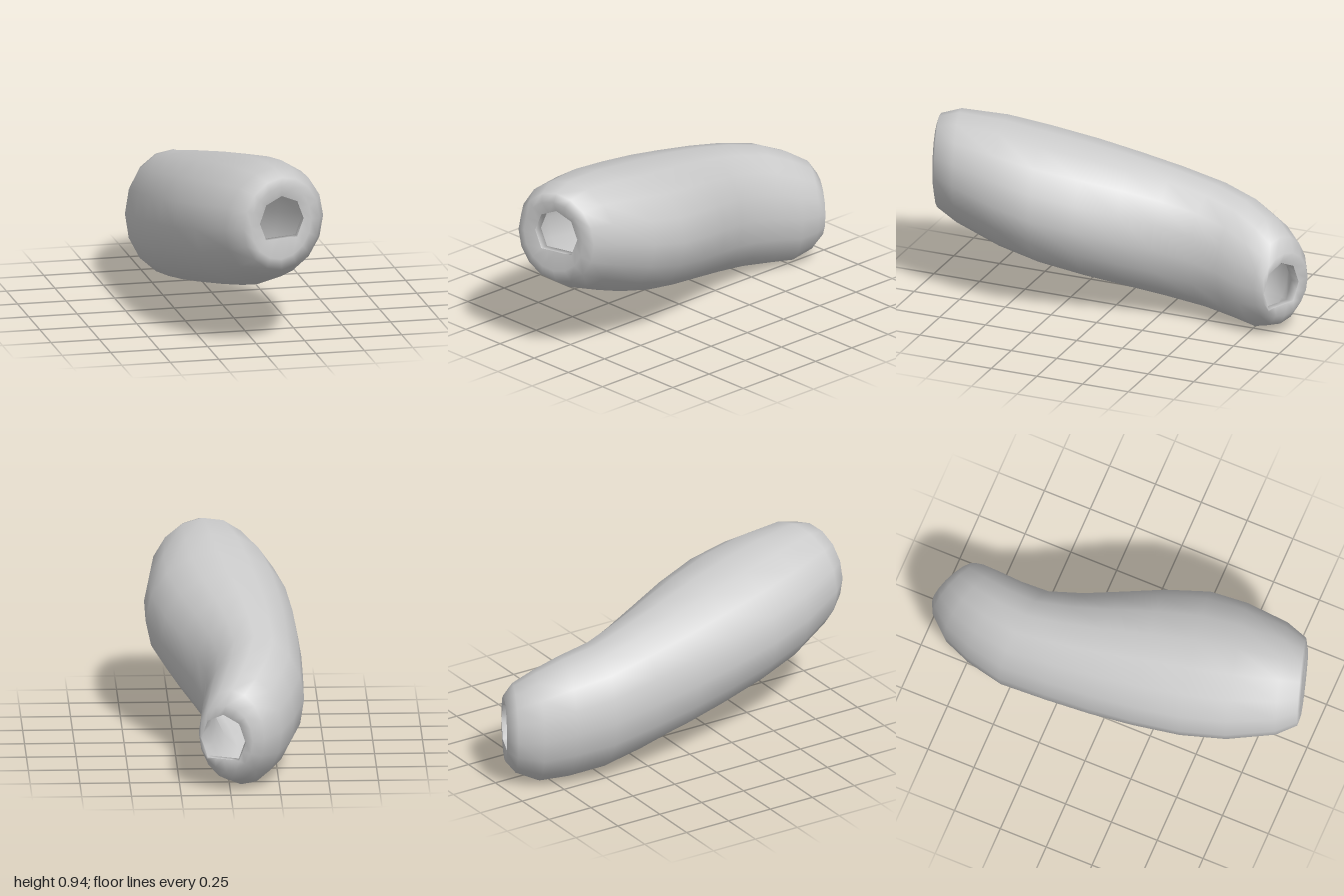
import * as THREE from 'three';

const SIDES = 16;

// Cross-sections from front to back: [xLeft, zLeft, xRight, zRight, yTop, yBottom]
const frontHole = [-0.03, 0.965, 0.21, 0.9, 0.815, 0.555];
const backHole = [-0.075, -0.965, 0.145, -0.87, 0.4, 0.13];
const body = [
  [-0.08, 0.995, 0.25, 0.9, 0.865, 0.49],
  [-0.12, 0.995, 0.3, 0.87, 0.91, 0.43],
  [-0.2, 0.91, 0.345, 0.75, 0.94, 0.365],
  [-0.3, 0.68, 0.38, 0.52, 0.925, 0.27],
  [-0.355, 0.45, 0.38, 0.32, 0.89, 0.21],
  [-0.38, 0.2, 0.315, 0.1, 0.845, 0.155],
  [-0.39, -0.03, 0.235, -0.1, 0.795, 0.11],
  [-0.39, -0.27, 0.165, -0.28, 0.745, 0.07],
  [-0.385, -0.52, 0.12, -0.45, 0.69, 0.035],
  [-0.33, -0.72, 0.125, -0.6, 0.645, 0.013],
  [-0.26, -0.87, 0.145, -0.72, 0.585, 0.003],
  [-0.17, -0.97, 0.155, -0.82, 0.52, 0.05],
  [-0.11, -1.0, 0.155, -0.865, 0.45, 0.11],
];

// One oval ring; 'inset' shrinks it, 'hole' makes it an octagon cut flat at the bottom
function ring([xl, zl, xr, zr, top, bottom], { inset = 0, hole = false, dz = 0 } = {}) {
  const hw = (xr - xl) / 2, hh = (top - bottom) / 2;
  const unit = (j) => {
    const a = (j / SIDES) * Math.PI * 2;
    return new THREE.Vector2(Math.cos(a), hole ? Math.max(Math.sin(a), -Math.SQRT1_2) : Math.sin(a));
  };
  return Array.from({ length: SIDES }, (_, j) => {
    const p = hole && j % 2 ? unit(j - 1).lerp(unit(j + 1), 0.5) : unit(j);
    const u = p.x * (1 - inset / hw);
    return new THREE.Vector3(
      (xl + xr) / 2 + u * hw,
      (top + bottom) / 2 + p.y * (hh - inset),
      (zl + zr) / 2 + (u * (zr - zl)) / 2 + dz
    );
  });
}

// Skin joining consecutive rings
function loft(rings, name, material) {
  const index = [];
  for (let i = 0; i < rings.length - 1; i++) {
    for (let j = 0; j < SIDES; j++) {
      const k = (j + 1) % SIDES;
      const a = i * SIDES + j, b = i * SIDES + k, c = a + SIDES, d = b + SIDES;
      index.push(a, c, b, b, c, d);
    }
  }
  const geometry = new THREE.BufferGeometry().setFromPoints(rings.flat());
  geometry.setIndex(index);
  geometry.computeVertexNormals();
  const mesh = new THREE.Mesh(geometry, material);
  mesh.name = name;
  return mesh;
}

export function createModel() {
  const group = new THREE.Group();
  group.name = 'bentHollowPod';
  const material = new THREE.MeshStandardMaterial({ color: 0xcccccc });
  const front = ring(frontHole, { hole: true });
  const back = ring(backHole, { hole: true });

  // Outer skin, curling in to the opening at each end
  group.add(loft([front, ...body.map((s) => ring(s)), back], 'outerShell', material));

  // Inner wall, facing the cavity
  const inner = [
    front,
    ring(frontHole, { hole: true, dz: -0.04 }),
    ...body.slice(2, 11).map((s) => ring(s, { inset: 0.05 })),
    ring(backHole, { hole: true, dz: 0.04 }),
    back,
  ];
  group.add(loft(inner.reverse(), 'innerWall', material));
  return group;
}
